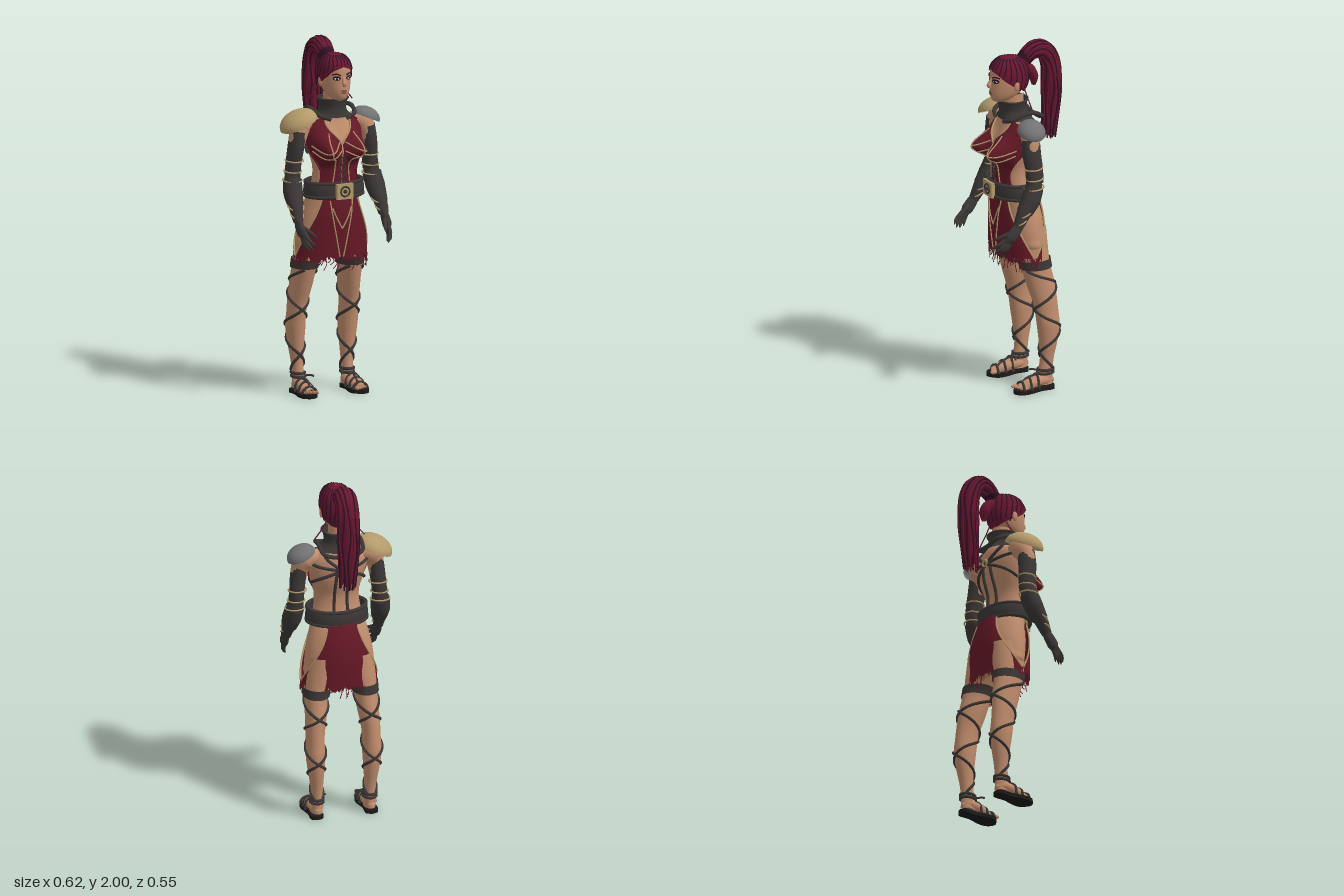
import * as THREE from 'three';
import { mergeVertices } from 'three/addons/utils/BufferGeometryUtils.js';

const V = (x, y, z) => new THREE.Vector3(x, y, z);
const mat = (name, color, side = THREE.FrontSide) => {
  const m = new THREE.MeshStandardMaterial({ color, side });
  m.name = name;
  return m;
};

// Smooth interpolation of table rows [y, ...values], y descending
function sample(rows, y) {
  const n = rows.length - 1;
  let i = 0;
  while (i < n - 1 && y < rows[i + 1][0]) i++;
  const a = rows[i], b = rows[i + 1], p = rows[Math.max(0, i - 1)], q = rows[Math.min(n, i + 2)];
  const h = b[0] - a[0], t = Math.min(1, Math.max(0, (y - a[0]) / h));
  return a.map((_, k) => {
    const m0 = (b[k] - p[k]) / (b[0] - p[0]) * h, m1 = (q[k] - a[k]) / (q[0] - a[0]) * h;
    return (1 + 2 * t) * (1 - t) ** 2 * a[k] + t * (1 - t) ** 2 * m0 + t * t * (3 - 2 * t) * b[k] + t * t * (t - 1) * m1;
  });
}
const keys = (rows) => (y) => sample(rows, y)[1];

// Body surface from rows [y, centreX, halfWidth, frontZ, backZ]; angle 0 faces +z
const surf = (rows, bump) => (y, a, off = 0) => {
  const [, cx, rx, zf, zb] = sample(rows, y);
  const p = V(cx + (rx + off) * Math.sin(a), y, (zf + zb) / 2 + ((zf - zb) / 2 + off) * Math.cos(a));
  if (bump) bump(p, a);
  return p;
};

function smooth(g) {
  g.deleteAttribute('uv');
  g.deleteAttribute('normal');
  const m = mergeVertices(g, 1e-5);
  m.computeVertexNormals();
  return m;
}

// Patch of a surface between two heights and two angle limits
function patch(fn, top, bottom, a0, a1, off = 0, nv = 30, nu = 32, jag) {
  const pos = [], idx = [];
  for (let i = 0; i <= nv; i++) for (let j = 0; j <= nu; j++) {
    const y = top + (bottom - top) * i / nv, s = a0(y);
    const a = s + (a1(y) - s) * j / nu;
    const p = fn(y, a, off);
    if (jag) p.y += jag(j) * (i / nv) ** 6;
    pos.push(p.x, p.y, p.z);
    const k = i * (nu + 1) + j, d = k + nu + 1;
    if (i < nv && j < nu) idx.push(k, d, d + 1, k, d + 1, k + 1);
  }
  const g = new THREE.BufferGeometry();
  g.setAttribute('position', new THREE.Float32BufferAttribute(pos, 3));
  g.setIndex(idx);
  return smooth(g);
}
const around = (fn, top, bottom, off, nv) => patch(fn, top, bottom, () => -Math.PI, () => Math.PI, off, nv, 40);
const spot = (fn, y, a, hy, ha, off) => {
  const w = (v) => ha * Math.sqrt(Math.max(0, 1 - ((v - y) / hy) ** 2));
  return patch(fn, y + hy, y - hy, (v) => a - w(v), (v) => a + w(v), off, 10, 8);
};

// Tube whose radius changes along its path; stretch scales each section
function limb(pts, radii, stretch = [1, 1, 1], ridge = 0, n = 28, m = 18) {
  const c = new THREE.CatmullRomCurve3(pts), g = new THREE.TubeGeometry(c, n, 1, m);
  const p = g.attributes.position, v = V(), s = V(...stretch);
  for (let i = 0; i <= n; i++) {
    const o = c.getPointAt(i / n), f = i / n * (radii.length - 1), k = Math.min(radii.length - 2, Math.floor(f));
    const r = radii[k] + (radii[k + 1] - radii[k]) * (f - k);
    for (let j = 0; j <= m; j++) {
      const id = i * (m + 1) + j, w = r * (1 + ridge * Math.cos(j * Math.PI));
      v.fromBufferAttribute(p, id).sub(o).multiplyScalar(w).multiply(s).add(o);
      p.setXYZ(id, v.x, v.y, v.z);
    }
  }
  return smooth(g);
}
const cord = (pts, r, n = 24) => new THREE.TubeGeometry(new THREE.CatmullRomCurve3(pts), n, r, 6);
// Cord laid on a surface through [height, angle] points
function strap(fn, pts, r, off = 0.004, n = 24) {
  const c = new THREE.CatmullRomCurve3(pts.map(([y, a]) => V(y, a, 0)));
  return cord(c.getPoints(n).map((q) => fn(q.x, q.y, off)), r, n * 2);
}

export function createModel() {
  const root = new THREE.Group();
  const D = THREE.DoubleSide;
  const skin = mat('skin', 0xc08c6c), cloth = mat('crimsonCloth', 0x641826, D), hair = mat('redHair', 0x681630, D);
  const hairDark = mat('darkHair', 0x2e1024), leather = mat('darkLeather', 0x3b3736, D), gold = mat('gold', 0xb49a6a, D);
  const steel = mat('steel', 0x707274, D), white = mat('eyeWhite', 0xd8d0c8), lip = mat('lip', 0x8a5448), black = mat('blackRubber', 0x1c1a1a);
  const add = (name, g, m, x = 0, y = 0, z = 0) => {
    const o = new THREE.Mesh(g, m);
    o.name = name;
    o.position.set(x, y, z);
    root.add(o);
    return o;
  };
  let seed = 7;
  const rnd = () => (seed = (seed * 16807) % 2147483647) / 2147483647;

  // Torso with bust
  const torso = surf([[1.72, 0, .05, .075, -.045], [1.64, 0, .056, .075, -.05], [1.6, 0, .08, .075, -.065], [1.57, 0, .13, .075, -.08],
    [1.53, 0, .163, .09, -.09], [1.47, 0, .165, .11, -.093], [1.4, 0, .15, .122, -.083], [1.3, 0, .128, .125, -.055], [1.2, 0, .135, .122, -.065],
    [1.1, 0, .162, .115, -.11], [1, 0, .186, .11, -.135], [.9, 0, .198, .095, -.138], [.84, 0, .195, .07, -.132], [.79, 0, .08, .02, -.09]],
  (p, a) => {
    const dy = (p.y - 1.4) / (p.y > 1.4 ? .08 : .052), dx = (Math.abs(p.x) - .085) / .062;
    const g = Math.cos(a) > 0 ? Math.exp(-dx * dx - dy * dy) * Math.sqrt(Math.cos(a)) : 0;
    p.z += .118 * g;
    p.x += Math.sign(p.x) * .022 * g;
  });
  add('torso', around(torso, 1.72, .79, 0, 70), skin);

  // Head and face
  const head = surf([[1.935, 0, .01, .06, .03], [1.92, 0, .045, .1, -.015], [1.89, 0, .068, .136, -.045], [1.86, 0, .078, .15, -.06], [1.82, 0, .081, .153, -.065],
    [1.78, 0, .079, .154, -.055], [1.74, 0, .07, .155, -.035], [1.71, 0, .056, .15, 0], [1.69, 0, .036, .14, .045], [1.678, 0, .008, .115, .09]]);
  add('head', around(head, 1.935, 1.678, 0, 40), skin);
  add('nose', limb([V(0, 1.825, .15), V(0, 1.8, .158), V(0, 1.78, .165), V(0, 1.77, .152)], [.006, .009, .013, .006]), skin);
  add('upperLip', spot(head, 1.742, 0, .006, .27, .003), lip);
  add('lowerLip', spot(head, 1.731, 0, .006, .22, .004), lip);
  for (const s of [1, -1]) {
    add('eyeShade', spot(head, 1.814, s * .46, .013, .26, .002), hairDark);
    add('eye', spot(head, 1.812, s * .46, .006, .17, .004), white);
    add('iris', spot(head, 1.812, s * .45, .006, .07, .006), black);
    add('brow', strap(head, [[1.83, s * .2], [1.838, s * .45], [1.834, s * .75]], .004, .002), hairDark);
    add('ear', new THREE.SphereGeometry(1, 12, 10), skin, s * .086, 1.785, .035).scale.set(.01, .03, .018);
    add('hairPin', cord([V(s * .07, 1.76, -.02), V(s * .1, 1.71, -.025), V(s * .145, 1.655, -.03)], .0035, 8), hair);
  }

  // Hair cap and dark braid lines
  const cap = surf([[1.943, 0, .004, .05, .04], [1.934, 0, .038, .09, -.005], [1.91, 0, .07, .13, -.045], [1.87, 0, .087, .156, -.068],
    [1.82, 0, .092, .158, -.077], [1.77, 0, .087, .145, -.068], [1.72, 0, .066, .12, -.048]]);
  const hairline = keys([[1.95, 0], [1.878, 0], [1.866, .35], [1.85, .7], [1.82, 1], [1.78, 1.5], [1.745, 2.1], [1.72, 2.7]]);
  add('hairCap', patch(cap, 1.943, 1.72, (y) => Math.max(0, hairline(y)), (y) => 2 * Math.PI - Math.max(0, hairline(y)), 0, 40, 48), hair);
  for (let k = 0; k < 22; k++) {
    const a = (k + .5) / 22 * Math.PI * 2, f = Math.min(a, 2 * Math.PI - a);
    const low = f < .5 ? 1.88 : f < 1.1 ? 1.85 : f < 1.8 ? 1.81 : 1.75;
    add('braidLine', strap(cap, [[1.932, a], [(1.932 + low) / 2, a + .07], [low, a]], .0035, 0, 10), hairDark);
  }

  // Ponytail with dark strands and loose ends
  const tail = [V(0, 1.885, -.04), V(0, 1.942, -.095), V(0, 1.945, -.165), V(0, 1.875, -.213), V(0, 1.7, -.224), V(0, 1.55, -.216), V(0, 1.43, -.206)];
  const tailR = (u) => u < .2 ? .034 + u * .075 : u < .6 ? .049 + (u - .2) * .01 : .053 - (u - .6) * .04;
  add('ponytail', limb(tail, [0, .1, .2, .3, .4, .5, .6, .7, .8, .9, .99, 1].map((u) => u === 1 ? .012 : tailR(u)), [1.15, 1, 1], .05, 48, 32), hair);
  const tailCurve = new THREE.CatmullRomCurve3(tail), frames = tailCurve.computeFrenetFrames(30);
  for (let k = 0; k < 20; k++) {
    const pts = [], a = k / 20 * Math.PI * 2 + rnd() * .2, tip = rnd() * .02;
    for (let i = 2; i <= 30; i += 2) {
      const w = a + .12 * Math.sin(i * .4 + k), r = tailR(i / 30) * 1.02;
      const p = tailCurve.getPointAt(i / 30).addScaledVector(frames.normals[i], r * Math.cos(w)).addScaledVector(frames.binormals[i], r * Math.sin(w));
      p.x *= 1.15;
      if (i === 30) p.y += .008 - tip;
      pts.push(p);
    }
    add('ponytailStrand', cord(pts, .0045, 40), k % 2 ? hairDark : hair);
  }
  add('hairTie', limb([V(0, 1.9, -.05), V(0, 1.925, -.075)], [.044, .046], [1, 1, 1], 0, 4), hairDark);
  add('napeLock', limb([V(0, 1.87, -.06), V(0, 1.83, -.095), V(0, 1.79, -.112), V(0, 1.745, -.115)], [.025, .03, .028, .012], [1.2, 1, 1]), hair);

  // Collar and harness
  const collar = surf([[1.685, 0, .082, .1, -.062], [1.64, 0, .072, .09, -.058], [1.61, 0, .078, .09, -.065], [1.58, 0, .11, .095, -.085]]);
  add('collar', around(collar, 1.685, 1.58, .004, 12), leather);
  add('collarRim', strap(collar, Array.from({ length: 13 }, (_, i) => [1.683, i / 6 * Math.PI]), .006), leather);
  const yoke = [[.05, 1.575, .1], [.105, 1.595, .075], [.122, 1.62, .02], [.122, 1.625, -.05], [.108, 1.595, -.11], [.05, 1.575, -.118]];
  add('harnessYoke', cord([...yoke.map((p) => V(...p)), ...yoke.slice().reverse().map(([x, y, z]) => V(-x, y, z))], .0125, 80), leather);
  const PI = Math.PI;
  for (const s of [1, -1]) {
    const back = [[[1.58, 2.3], [1.53, 2.75], [1.48, PI]], [[1.52, 1.7], [1.5, 2.4], [1.48, PI]], [[1.48, PI], [1.43, 2.4], [1.38, 1.7]],
      [[1.5, PI - .15], [1.36, PI - .25], [1.2, PI - .3]]];
    for (const path of back) add('backStrap', strap(torso, path.map(([y, a]) => [y, s * a]), .009, .006), leather);
  }
  add('backRing', new THREE.TorusGeometry(.018, .006, 8, 20), gold, 0, 1.485, -.108);

  // Bodice halves with gold trim and lacing
  const inner = keys([[1.585, .62], [1.52, .36], [1.45, .03], [1.4, .01], [1.2, .01]]);
  const outer = keys([[1.585, .85], [1.52, 1.3], [1.45, 1.5], [1.4, 1.5], [1.35, 1.25], [1.28, .95], [1.2, 1]]);
  const run = (f, y0, y1, s) => Array.from({ length: 12 }, (_, i) => y0 + (y1 - y0) * i / 11).map((y) => [y, s * f(y)]);
  for (const s of [1, -1]) {
    const lo = (y) => s > 0 ? inner(y) : -outer(y), hi = (y) => s > 0 ? outer(y) : -inner(y);
    add('bodice', patch(torso, 1.585, 1.2, lo, hi, .006, 44, 28), cloth);
    add('necklineTrim', strap(torso, run(inner, 1.58, 1.44, s), .0055, .008, 40), gold);
    add('bodiceSideTrim', strap(torso, run(outer, 1.57, 1.21, s), .005, .007, 40), cloth);
    add('cupTrim', strap(torso, [[1.5, s * .42], [1.44, s * .5], [1.38, s * .5], [1.34, s * .3], [1.22, s * .38]], .004, .008, 40), gold);
    add('cupTrim', strap(torso, [[1.45, s * .08], [1.415, s * .35], [1.4, s * .75], [1.43, s * 1.2]], .004, .008, 40), gold);
    add('cupTrim', strap(torso, [[1.4, s * .05], [1.375, s * .35], [1.365, s * .75], [1.4, s * 1.25]], .004, .008, 40), gold);
    for (let i = 0; i < 4; i++) add('lacing', strap(torso, [[1.38 - i * .04, -s * .13], [1.345 - i * .04, s * .13]], .004, .01, 8), leather);
  }

  // Belt and buckle
  const belt = surf([[1.225, 0, .158, .145, -.082], [1.21, 0, .172, .156, -.095], [1.15, 0, .176, .158, -.1], [1.13, 0, .162, .148, -.09]]);
  add('belt', around(belt, 1.225, 1.13, 0, 14), leather);
  for (const y of [1.217, 1.14]) add('beltRim', strap(belt, Array.from({ length: 17 }, (_, i) => [y, i / 8 * PI]), .011, 0, 48), leather);
  add('buckle', new THREE.BoxGeometry(.1, .088, .03), gold, 0, 1.176, .16);
  add('buckleRing', new THREE.TorusGeometry(.027, .005, 8, 28), leather, 0, 1.176, .176);
  add('buckleStud', new THREE.SphereGeometry(.012, 14, 10), leather, 0, 1.176, .174);

  // Ragged skirt panels, open over the hips
  const skirt = surf([[1.15, 0, .152, .125, -.1], [1.05, 0, .18, .136, -.132], [.95, 0, .201, .133, -.147], [.85, 0, .21, .128, -.147], [.7, 0, .217, .118, -.145]]);
  const t = (y) => Math.min(1, Math.max(0, (1.15 - y) / .36));
  const front = (y) => .72 + .86 * t(y) ** 1.6, rear = (y) => PI / 2 + 1.02 * (1 - t(y) ** 1.9);
  const jags = Array.from({ length: 70 }, () => (rnd() - .5) * .045);
  add('skirtFront', patch(skirt, 1.15, .785, (y) => -front(y), front, .004, 36, 64, (j) => jags[j]), cloth);
  add('skirtBack', patch(skirt, 1.15, .77, rear, (y) => 2 * PI - rear(y), .004, 36, 64, (j) => jags[64 - j]), cloth);
  for (const s of [1, -1]) {
    add('skirtTrim', strap(skirt, run(front, 1.13, .8, s), .005, .004, 36), gold);
    add('skirtTrim', strap(skirt, run(rear, 1.13, .8, s), .005, .004, 36), gold);
    add('skirtSeam', strap(skirt, [[1.12, s * .42], [.95, s * .2], [.8, s * .05]], .004, .006), gold);
    add('skirtSeam', strap(skirt, [[1.08, s * .33], [1.03, s * .2], [.96, 0]], .004, .006), gold);
  }
  for (let k = 0; k < 70; k++) {
    const a = k / 70 * PI * 2, y = .715 + rnd() * .06;
    add('skirtFringe', strap(skirt, [[.8, a], [(y + .8) / 2, a + rnd() * .08], [y, a + (rnd() - .5) * .1]], .0022, .003, 4), cloth);
  }

  // Tilted shoulder domes
  const dome = (m, x, y, sx, sy, sz, tilt) => {
    const o = add('shoulderPad', new THREE.SphereGeometry(1, 36, 14, 0, PI * 2, 0, PI / 2), m, x, y, .008);
    o.scale.set(sx, sy, sz);
    o.rotation.z = tilt;
  };
  dome(gold, -.203, 1.55, .113, .075, .108, .42);
  dome(steel, .208, 1.55, .084, .06, .08, -.4);

  const soleShape = new THREE.Shape();
  soleShape.moveTo(0, -.16).splineThru([[.036, -.14], [.035, -.07], [.052, .01], [.046, .065], [.005, .092], [-.046, .055], [-.05, 0], [-.034, -.07], [-.035, -.14], [0, -.16]]
    .map((p) => new THREE.Vector2(...p)));
  for (const s of [1, -1]) {
    // Arm, sleeve and bracer
    const P = (x, y, z) => V(s * x, y, z);
    add('shoulder', limb([P(.11, 1.54, -.005), P(.18, 1.535, 0), P(.213, 1.48, .014), P(.225, 1.4, .014)], [.04, .06, .05, .042]), skin);
    add('sleeve', limb([P(.212, 1.51, .015), P(.226, 1.42, .014), P(.235, 1.34, .005), P(.242, 1.26, .003)], [.049, .05, .047, .047], [.9, 1, 1.08]), leather);
    add('forearm', limb([P(.24, 1.29, .002), P(.25, 1.2, .02), P(.26, 1.1, .08), P(.265, 1.02, .122)], [.04, .05, .042, .028]), leather);
    add('bracer', limb([P(.246, 1.235, .01), P(.254, 1.17, .035), P(.259, 1.1, .078)], [.053, .055, .045]), leather);
    add('bracerPlate', limb([P(.272, 1.24, .008), P(.281, 1.17, .037), P(.281, 1.1, .08)], [.026, .03, .024], [.8, 1, 1]), leather);
    const bands = [[.232, 1.345, .006, .05], [.24, 1.285, .003, .048], [.246, 1.235, .01, .054], [.259, 1.1, .078, .046], [.263, 1.055, .102, .036]];
    for (const [x, y, z, r] of bands) {
      const o = add('armBand', new THREE.TorusGeometry(r, .0045, 8, 28), gold, s * x, y, z);
      o.rotation.x = y < 1.15 ? PI / 2 + .5 : PI / 2 + .1;
    }
    // Gloved hand
    add('hand', limb([P(.265, 1.035, .112), P(.266, .99, .145), P(.262, .955, .175), P(.256, .935, .19)], [.027, .034, .036, .018], [.65, 1, 1]), leather);
    const fingers = [[.25, .99, .165, .228, .965, .215, .212, .945, .248], [.258, .96, .195, .25, .93, .235, .225, .905, .265], [.26, .95, .188, .256, .91, .222, .234, .882, .246],
      [.262, .945, .178, .26, .9, .204, .242, .872, .222], [.262, .95, .165, .262, .905, .183, .248, .878, .195]];
    for (const f of fingers) add('finger', limb([P(f[0], f[1], f[2]), P(f[3], f[4], f[5]), P(f[6], f[7], f[8])], [.013, .0115, .0105, .009, .002], [1, 1, 1], 0, 12, 10), leather);

    // Leg with thigh band and crossed lacing
    const leg = surf([[.96, .1, .085, .08, -.13], [.85, .108, .092, .06, -.135], [.75, .137, .069, .038, -.136], [.62, .149, .06, .002, -.163], [.52, .159, .053, -.03, -.174], [.46, .161, .051, -.043, -.18],
      [.38, .162, .054, -.055, -.187], [.28, .159, .045, -.068, -.176], [.18, .154, .034, -.077, -.157], [.1, .152, .032, -.066, -.15], [.03, .152, .034, -.05, -.153]].map(([y, c, ...r]) => [y, s * c, ...r]));
    add('leg', around(leg, .96, .03, 0, 50), skin);
    add('thighBand', around(leg, .775, .722, .009, 5), leather);
    for (const d of [1, -1]) {
      const wind = Array.from({ length: 25 }, (_, i) => [.72 - i * .025, d * (.5 + i / 24 * PI * 4.6)]);
      add('legLacing', strap(leg, wind, .0085, .002, 90), leather);
    }
    for (const y of [.115, .095]) add('ankleStrap', strap(leg, Array.from({ length: 9 }, (_, i) => [y, i / 4 * PI]), .009, .003), leather);
    add('ankleKnot', cord([P(.12, .1, -.075), P(.1, .105, -.05), P(.085, .098, -.045)], .006, 8), leather);

    // Sandalled foot
    const sole = add('sole', new THREE.ExtrudeGeometry(soleShape, { depth: .022, bevelEnabled: false, curveSegments: 4 }), black, s * .157, .022, 0);
    sole.geometry.rotateX(PI / 2);
    sole.scale.x = s;
    add('foot', limb([P(.153, .045, -.155), P(.153, .056, -.1), P(.155, .052, -.04), P(.158, .036, .02), P(.158, .03, .062)], [.014, .04, .04, .037, .022], [1.05, .85, 1]), skin);
    for (let i = 0; i < 5; i++) add('toe', new THREE.SphereGeometry(1, 10, 8), skin, s * (.124 + i * .0165), .031, .07 - i * .009).scale.set(.0095 - i * .0004, .011, .02);
    for (const [z, h] of [[-.045, .095], [.0, .078], [.045, .06]])
      add('sandalStrap', cord([P(.11, .02, z), P(.122, h * .72, z), P(.157, h, z - .006), P(.192, h * .72, z), P(.204, .02, z)], .008), leather);
    add('toeThong', cord([P(.157, .093, -.05), P(.15, .078, .005), P(.143, .03, .06)], .006), leather);
  }
  return root;
}
